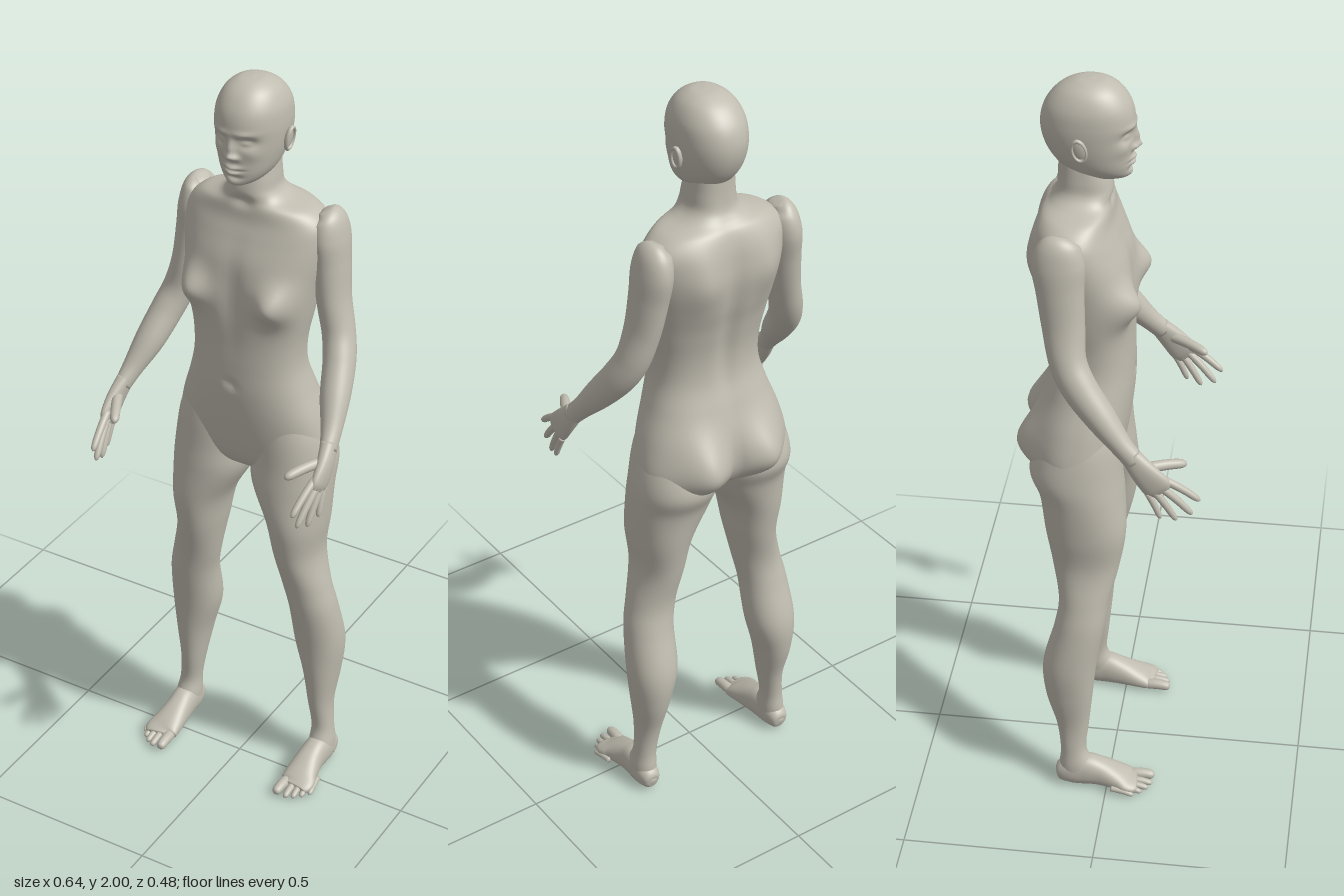
import * as THREE from 'three';

const clay = new THREE.MeshStandardMaterial({ color: 0xc0bcb0 });
clay.name = 'clay';

// Skin through rows [x, y, z, ru, rv]; rings are level when flat, else square to the path.
function loft(rows, { segs = 32, steps = 40, flat = false, power = 2 } = {}) {
  const path = new THREE.CatmullRomCurve3(rows.map(r => new THREE.Vector3(r[0], r[1], r[2])), false, 'catmullrom', 0.5);
  const size = new THREE.CatmullRomCurve3(rows.map(r => new THREE.Vector3(r[3], r[4], 0)), false, 'catmullrom', 0.5);
  const pos = [], index = [];
  const round = c => Math.sign(c) * Math.abs(c) ** (2 / power);
  for (let i = 0; i <= steps; i++) {
    const t = i / steps, c = path.getPoint(t), s = size.getPoint(t);
    const dir = flat ? new THREE.Vector3(0, -1, 0) : path.getTangent(t);
    const u = new THREE.Vector3(1, 0, 0).addScaledVector(dir, -dir.x).normalize();
    const v = dir.clone().cross(u);
    for (let j = 0; j < segs; j++) {
      const a = (j / segs) * Math.PI * 2;
      const p = c.clone()
        .addScaledVector(u, round(Math.cos(a)) * Math.max(s.x, 0.001))
        .addScaledVector(v, round(Math.sin(a)) * Math.max(s.y, 0.001));
      pos.push(p.x, p.y, p.z);
      if (i < steps) {
        const k = i * segs, n = (j + 1) % segs;
        index.push(k + j, k + n, k + segs + j, k + n, k + segs + n, k + segs + j);
      }
    }
  }
  // Close both ends
  const first = pos.length / 3, last = steps * segs;
  pos.push(...path.getPoint(0).toArray(), ...path.getPoint(1).toArray());
  for (let j = 0; j < segs; j++) {
    const n = (j + 1) % segs;
    index.push(first, n, j, first + 1, last + j, last + n);
  }
  const geo = new THREE.BufferGeometry();
  geo.setAttribute('position', new THREE.Float32BufferAttribute(pos, 3));
  geo.setIndex(index);
  geo.computeVertexNormals();
  return geo;
}

// Level rows given as [y, centre x, half width, front z, back z]
const levels = rows => rows.map(([y, x, w, f, b]) => [x, y, (f + b) / 2, w, (f - b) / 2]);

// Soft mirrored swellings [side, x, y, spreadX, spreadY, depth]; side 1 is front, -1 is back
function sculpt(geo, zMid, bumps) {
  const p = geo.attributes.position;
  for (let i = 0; i < p.count; i++) {
    const x = Math.abs(p.getX(i)), y = p.getY(i), z = p.getZ(i);
    let dz = 0;
    for (const [side, bx, by, sx, sy, d] of bumps) {
      const w = THREE.MathUtils.smoothstep((z - zMid) * side, 0, 0.07);
      dz += side * d * w * Math.exp(-(((x - bx) / sx) ** 2) - ((y - by) / sy) ** 2);
    }
    p.setZ(i, z + dz);
  }
  geo.computeVertexNormals();
  return geo;
}

function mirrored(geo) {
  const g = geo.clone();
  const p = g.attributes.position, ix = g.index.array;
  for (let i = 0; i < p.count; i++) p.setX(i, -p.getX(i));
  for (let i = 0; i < ix.length; i += 3) [ix[i], ix[i + 1]] = [ix[i + 1], ix[i]];
  g.computeVertexNormals();
  return g;
}

// Finger or toe: a slightly arched taper with a round tip
function digit(from, to, r, arch = 0.004) {
  const a = new THREE.Vector3(...from), b = new THREE.Vector3(...to);
  const rows = [[0, 1], [0.3, 1], [0.6, 0.95], [0.85, 0.85], [0.96, 0.55], [1, 0.1]].map(([t, k]) => {
    const p = a.clone().lerp(b, t);
    p.y += arch * Math.sin(t * Math.PI);
    return [p.x, p.y, p.z, r * k, r * k];
  });
  return loft(rows, { segs: 14, steps: 20 });
}

export function createModel() {
  const model = new THREE.Group();
  model.name = 'figure';
  const add = (name, geo) => {
    const m = new THREE.Mesh(geo, clay);
    m.name = name;
    model.add(m);
  };
  const pair = (name, geo) => {
    add('left' + name, geo);
    add('right' + name, mirrored(geo));
  };

  // Torso and neck
  const torso = loft(levels([
    [1.80, 0, 0.055, -0.03, -0.14], [1.75, 0, 0.060, -0.015, -0.142], [1.715, 0, 0.066, -0.008, -0.147],
    [1.692, 0, 0.092, -0.010, -0.160], [1.672, 0, 0.150, -0.008, -0.178], [1.64, 0, 0.185, -0.003, -0.190],
    [1.60, 0, 0.192, 0.012, -0.196], [1.54, 0, 0.186, 0.034, -0.198], [1.47, 0, 0.174, 0.044, -0.188],
    [1.40, 0, 0.163, 0.046, -0.170], [1.32, 0, 0.149, 0.044, -0.155], [1.25, 0, 0.148, 0.045, -0.156],
    [1.18, 0, 0.166, 0.045, -0.175], [1.10, 0, 0.194, 0.038, -0.194], [1.02, 0, 0.211, 0.026, -0.204],
    [0.97, 0, 0.200, 0.012, -0.185], [0.94, 0, 0.130, -0.01, -0.150], [0.925, 0, 0.040, -0.04, -0.110],
  ]), { segs: 96, steps: 130, flat: true, power: 2.35 });
  add('torso', sculpt(torso, -0.07, [
    [1, 0.118, 1.452, 0.048, 0.050, 0.046],   // chest
    [1, 0, 1.46, 0.025, 0.10, -0.008],        // breastbone
    [1, 0, 1.205, 0.012, 0.012, -0.008],      // navel
    [1, 0, 1.69, 0.025, 0.015, -0.008],       // throat notch
    [-1, 0.092, 1.03, 0.062, 0.085, 0.046],   // seat
    [-1, 0, 1.02, 0.018, 0.06, -0.014],
    [-1, 0.095, 1.56, 0.05, 0.08, 0.018],     // shoulder blades
    [-1, 0, 1.40, 0.024, 0.22, -0.014],       // spine
  ]));

  // Head with sculpted face
  const head = loft(levels([
    [2.0, 0, 0.004, -0.056, -0.066], [1.995, 0, 0.035, -0.022, -0.100], [1.975, 0, 0.063, 0.010, -0.138],
    [1.94, 0, 0.081, 0.034, -0.168], [1.90, 0, 0.086, 0.043, -0.181], [1.86, 0, 0.084, 0.040, -0.179],
    [1.82, 0, 0.077, 0.037, -0.164], [1.785, 0, 0.065, 0.035, -0.138], [1.762, 0, 0.048, 0.031, -0.110],
    [1.750, 0, 0.028, 0.022, -0.080], [1.746, 0, 0.006, -0.01, -0.050],
  ]), { segs: 128, steps: 130, flat: true, power: 2.15 });
  add('head', sculpt(head, -0.05, [
    [1, 0.036, 1.868, 0.020, 0.014, -0.013],  // eye sockets
    [1, 0.034, 1.866, 0.012, 0.007, 0.007],   // eyelids
    [1, 0.030, 1.890, 0.025, 0.008, 0.005],   // brow
    [1, 0, 1.852, 0.009, 0.024, 0.014],       // nose bridge
    [1, 0, 1.833, 0.012, 0.009, 0.013],       // nose tip
    [1, 0.013, 1.829, 0.007, 0.007, 0.008],   // nostrils
    [1, 0, 1.802, 0.020, 0.006, 0.010],       // upper lip
    [1, 0, 1.795, 0.022, 0.0025, -0.006],     // mouth line
    [1, 0, 1.788, 0.017, 0.006, 0.009],       // lower lip
    [1, 0, 1.775, 0.020, 0.005, -0.004],
    [1, 0, 1.760, 0.020, 0.010, 0.006],       // chin
    [1, 0.052, 1.838, 0.018, 0.018, 0.004],   // cheekbones
  ]));

  // Ears: a thin shell with a raised rim
  const place = g => g.rotateX(-0.2).rotateZ(-0.12).translate(0.088, 1.853, -0.078);
  pair('Ear', place(new THREE.SphereGeometry(1, 24, 16).scale(0.007, 0.030, 0.017)));
  pair('EarRim', place(new THREE.TorusGeometry(0.025, 0.0045, 10, 32).rotateY(Math.PI / 2).scale(1.2, 1.1, 0.65).translate(0.004, 0, 0)));

  // Legs
  pair('Leg', loft(levels([
    [1.12, 0.100, 0.080, 0.012, -0.160], [1.05, 0.107, 0.099, 0.022, -0.185], [0.97, 0.112, 0.109, 0.028, -0.207],
    [0.90, 0.117, 0.105, 0.035, -0.182], [0.80, 0.140, 0.077, 0.040, -0.165], [0.70, 0.146, 0.062, 0.025, -0.147],
    [0.60, 0.166, 0.063, 0.002, -0.130], [0.52, 0.182, 0.064, -0.010, -0.140], [0.40, 0.190, 0.065, -0.030, -0.170],
    [0.30, 0.198, 0.048, -0.040, -0.163], [0.20, 0.201, 0.033, -0.050, -0.136], [0.12, 0.209, 0.029, -0.057, -0.125],
    [0.07, 0.212, 0.033, -0.040, -0.128], [0.03, 0.213, 0.032, -0.045, -0.128],
  ]), { segs: 56, steps: 90, flat: true, power: 2.1 }));

  // Feet and toes
  pair('Foot', loft([
    [0.213, 0.028, -0.137, 0.006, 0.008], [0.213, 0.030, -0.129, 0.023, 0.025], [0.213, 0.040, -0.10, 0.032, 0.040],
    [0.212, 0.046, -0.06, 0.034, 0.046], [0.210, 0.040, -0.02, 0.036, 0.039], [0.212, 0.028, 0.03, 0.043, 0.027],
    [0.216, 0.020, 0.06, 0.047, 0.018], [0.214, 0.017, 0.08, 0.036, 0.011],
  ], { segs: 40, steps: 50, power: 2.3 }));
  [[0.186, 0.183, 0.125, 0.0145], [0.210, 0.211, 0.122, 0.0095], [0.228, 0.230, 0.113, 0.009],
    [0.242, 0.247, 0.097, 0.0085], [0.254, 0.262, 0.077, 0.008],
  ].forEach(([x0, x1, z, r], i) => pair('Toe' + (i + 1), digit([x0, 0.018, z - 0.062], [x1, r, z], r, 0.003)));

  // Arms
  pair('Arm', loft([
    [0.170, 1.668, -0.112, 0.012, 0.02], [0.180, 1.650, -0.114, 0.036, 0.050], [0.187, 1.60, -0.116, 0.044, 0.064],
    [0.194, 1.53, -0.111, 0.044, 0.058], [0.207, 1.44, -0.102, 0.041, 0.052], [0.228, 1.36, -0.090, 0.041, 0.046],
    [0.248, 1.30, -0.060, 0.041, 0.044], [0.268, 1.23, -0.005, 0.038, 0.038], [0.287, 1.17, 0.045, 0.027, 0.028],
    [0.298, 1.13, 0.082, 0.020, 0.026],
  ], { segs: 40, steps: 80 }));

  // Hands
  pair('Palm', loft([
    [0.295, 1.145, 0.070, 0.020, 0.025], [0.303, 1.105, 0.103, 0.018, 0.033], [0.305, 1.068, 0.134, 0.014, 0.037],
    [0.304, 1.052, 0.147, 0.008, 0.028],
  ], { segs: 32, steps: 30, power: 2.3 }));
  pair('Thumb', digit([0.297, 1.112, 0.105], [0.245, 1.100, 0.202], 0.0135));
  pair('IndexFinger', digit([0.300, 1.086, 0.150], [0.287, 1.022, 0.240], 0.0100));
  pair('MiddleFinger', digit([0.305, 1.070, 0.140], [0.291, 0.982, 0.222], 0.0100));
  pair('RingFinger', digit([0.307, 1.056, 0.128], [0.299, 0.966, 0.184], 0.0095));
  pair('LittleFinger', digit([0.307, 1.046, 0.114], [0.309, 0.976, 0.146], 0.0085));

  return model;
}
